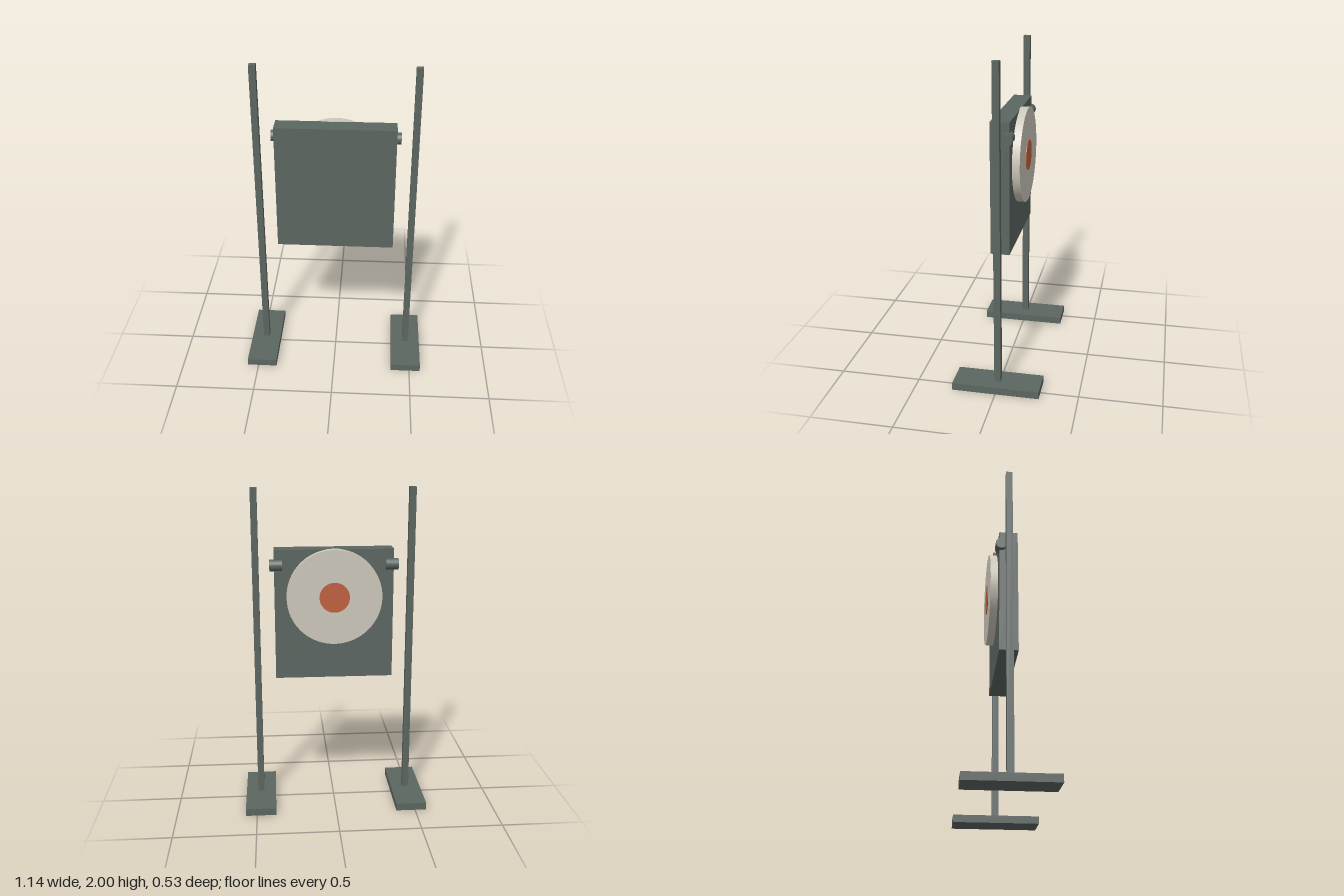
import * as THREE from 'three';

export function createModel() {
  const model = new THREE.Group();
  model.name = 'targetStand';

  const frameGrey = new THREE.MeshStandardMaterial({ color: 0x5c6661 });
  frameGrey.name = 'frameGrey';
  const discCream = new THREE.MeshStandardMaterial({ color: 0xcdc8bb });
  discCream.name = 'discCream';
  const centreRed = new THREE.MeshStandardMaterial({ color: 0xc0603f });
  centreRed.name = 'centreRed';

  function add(name, geometry, material, x, y, z) {
    const mesh = new THREE.Mesh(geometry, material);
    mesh.name = name;
    mesh.position.set(x, y, z);
    model.add(mesh);
    return mesh;
  }

  // Box given by its limits along y and z, centred on x
  function box(name, x, width, y0, y1, z0, z1) {
    add(name, new THREE.BoxGeometry(width, y1 - y0, z1 - z0), frameGrey, x, (y0 + y1) / 2, (z0 + z1) / 2);
  }

  // Disc lying against the back of the board
  function disc(name, radius, z0, z1, material) {
    const geometry = new THREE.CylinderGeometry(radius, radius, z1 - z0, 64).rotateX(Math.PI / 2);
    add(name, geometry, material, 0, 1.351, (z0 + z1) / 2);
  }

  // Feet, uprights and side pegs, mirrored
  for (const [side, s] of [['left', 1], ['right', -1]]) {
    box(side + 'Foot', s * 0.475, 0.19, 0, 0.046, -0.267, 0.267);
    box(side + 'Post', s * 0.475, 0.04, 0.046, 2, -0.02, 0.02);
    const peg = new THREE.CylinderGeometry(0.035, 0.035, 0.077, 32).rotateZ(Math.PI / 2);
    add(side + 'Peg', peg, frameGrey, s * 0.3515, 1.543, -0.039);
  }

  // Board with the target on its back
  box('board', 0, 0.725, 0.834, 1.637, -0.05, 0.064);
  disc('targetDisc', 0.29, -0.096, -0.045, discCream);
  disc('targetCentre', 0.092, -0.1, -0.094, centreRed);

  return model;
}
